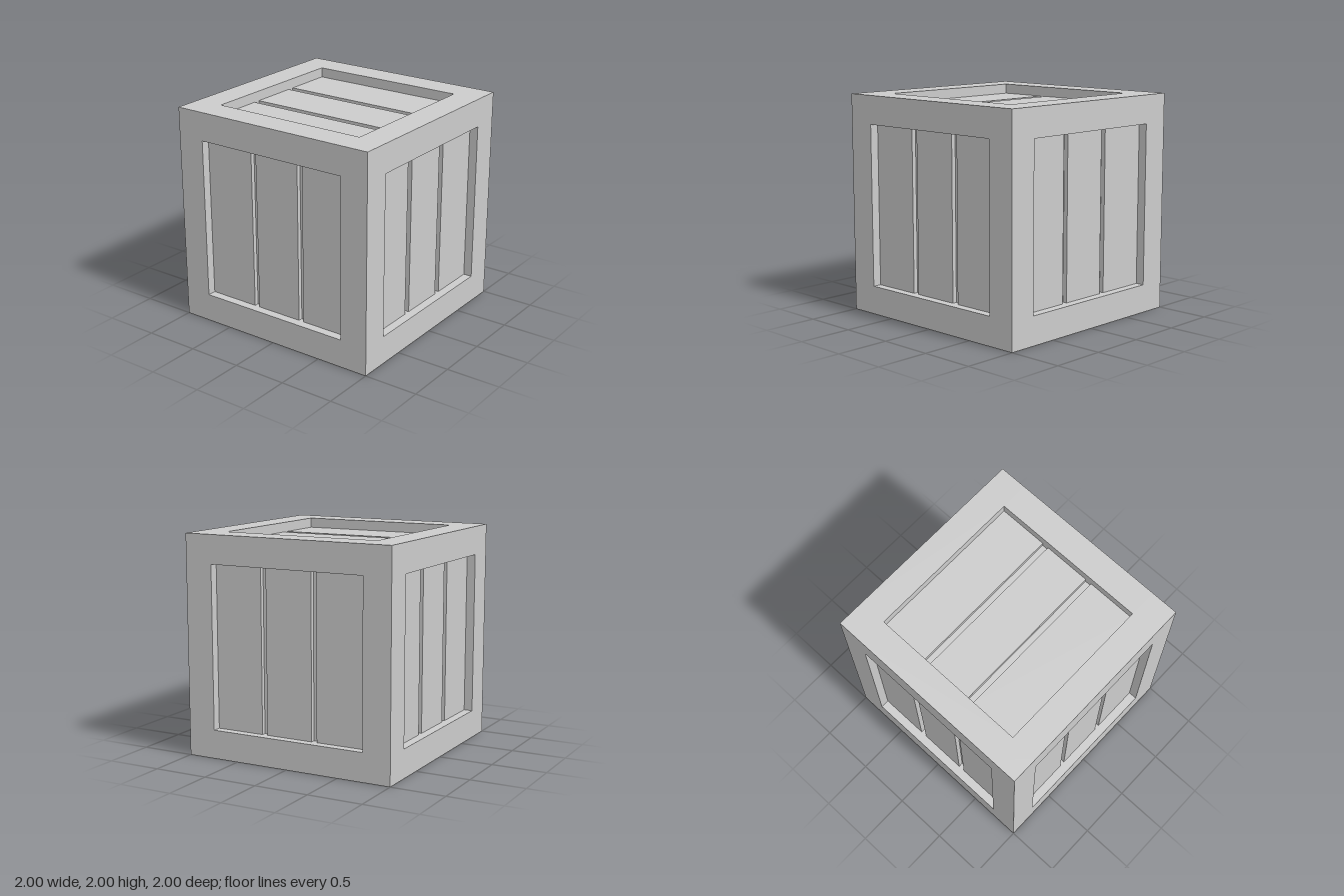
import * as THREE from 'three';

const material = new THREE.MeshStandardMaterial({ color: 0xcccccc, flatShading: true });
const BEAM = 0.26;        // thickness of the frame timbers
const OPEN = 1 - BEAM;    // half width of each framed opening
const GROOVE = 0.04;      // depth of the gaps between planks

function box(parent, name, size, position) {
  const mesh = new THREE.Mesh(new THREE.BoxGeometry(...size), material);
  mesh.name = name;
  mesh.position.set(...position);
  parent.add(mesh);
}

// Three upright planks facing +z, recessed below the frame, then turned to their side
function plankPanel(name, recess, gaps, rx, ry) {
  const panel = new THREE.Group();
  panel.name = name;
  const edges = [-OPEN, ...gaps, OPEN];
  const thick = GROOVE + 0.04;
  for (let i = 0; i < edges.length; i += 2) {
    const [a, b] = [edges[i], edges[i + 1]];
    box(panel, 'plank', [b - a, 2 * OPEN, thick], [(a + b) / 2, 0, 1 - recess - thick / 2]);
  }
  panel.rotation.set(rx, ry, 0);
  return panel;
}

export function createModel() {
  const crate = new THREE.Group();
  crate.name = 'crate';
  const body = new THREE.Group();
  body.name = 'crateBody';
  body.position.y = 1;
  crate.add(body);

  // Frame: corner posts and the rails butted between them
  const c = 1 - BEAM / 2;
  for (const s of [-1, 1]) {
    for (const t of [-1, 1]) {
      box(body, 'cornerPost', [BEAM, 2, BEAM], [s * c, 0, t * c]);
      box(body, 'crossRail', [2 * OPEN, BEAM, BEAM], [0, s * c, t * c]);
      box(body, 'sideRail', [BEAM, BEAM, 2 * OPEN], [s * c, t * c, 0]);
    }
  }

  // Core showing at the bottom of the grooves
  const top = 1 - 0.09 - GROOVE, bottom = -1 + 0.065 + GROOVE, half = 1 - 0.08 - GROOVE;
  box(body, 'core', [2 * half, top - bottom, 2 * half], [0, (top + bottom) / 2, 0]);

  // Plank panels on all six sides
  const q = Math.PI / 2;
  const even = [-0.28, -0.22, 0.22, 0.28];
  body.add(
    plankPanel('frontPanel', 0.08, even, 0, 0),
    plankPanel('backPanel', 0.08, even, 0, Math.PI),
    plankPanel('leftPanel', 0.08, [-0.285, -0.235, 0.21, 0.26], 0, q),
    plankPanel('rightPanel', 0.08, [-0.26, -0.21, 0.235, 0.285], 0, -q),
    plankPanel('topPanel', 0.09, even, -q, 0),
    plankPanel('bottomPanel', 0.065, even, q, 0),
  );
  return crate;
}
